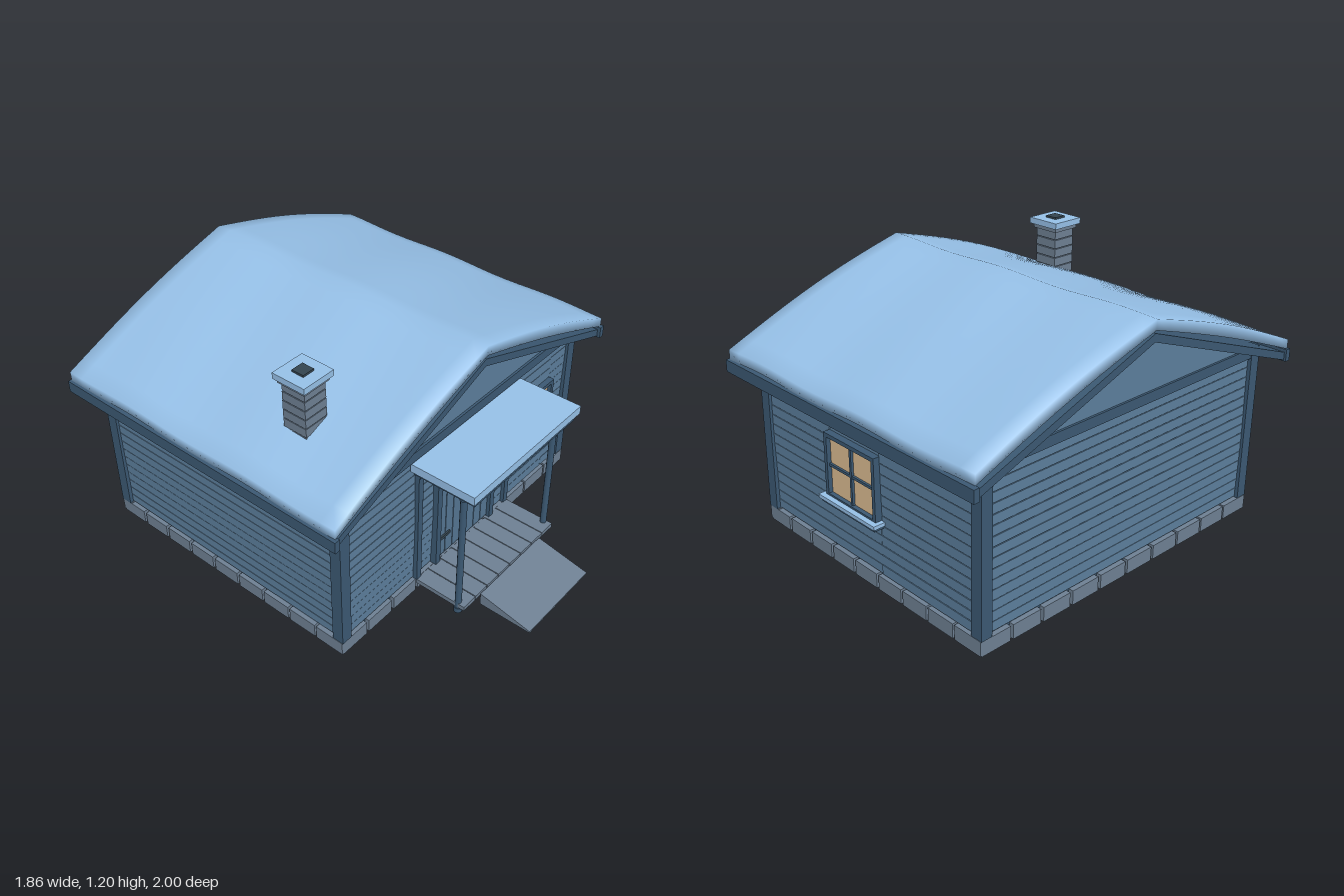
import * as THREE from 'three';

const mat = (color) => new THREE.MeshStandardMaterial({ color });
const WALL = mat(0x5b7d9b), TRIM = mat(0x3b5872), DOOR = mat(0x547491), SNOW = mat(0x95bfe6);
const STONE = mat(0x6d7f92), DARK = mat(0x34444f), GLASS = mat(0xdcbc92);

const HALF_X = 0.82, Z0 = -0.914, Z1 = 0.475, ZC = (Z0 + Z1) / 2, HALF_Z = (Z1 - Z0) / 2;
const SLOPE = 0.359;
const wobble = (i) => Math.sin(i * 12.9898) * 0.5;

function add(parent, name, geometry, material, x = 0, y = 0, z = 0) {
  const mesh = new THREE.Mesh(geometry, material);
  mesh.name = name;
  mesh.position.set(x, y, z);
  parent.add(mesh);
}

// box given by its two opposite corners
function box(parent, name, material, x0, x1, y0, y1, z0, z1) {
  add(parent, name, new THREE.BoxGeometry(x1 - x0, y1 - y0, z1 - z0), material,
    (x0 + x1) / 2, (y0 + y1) / 2, (z0 + z1) / 2);
}

function group(parent, name) {
  const g = new THREE.Group();
  g.name = name;
  parent.add(g);
  return g;
}

function extrude(points, z0, z1) {
  const shape = new THREE.Shape(points.map(([x, y]) => new THREE.Vector2(x, y)));
  return new THREE.ExtrudeGeometry(shape, { depth: z1 - z0, bevelEnabled: false }).translate(0, 0, z0);
}

// horizontal planks with slightly uneven seams; the plank face lies near z = 0
function planks(parent, x0, x1, y0, y1) {
  const n = Math.round((y1 - y0) / 0.046), h = (y1 - y0) / n;
  const seam = (i) => y0 + i * h + (i > 0 && i < n ? wobble(i + x0 * 7) * 0.006 : 0);
  for (let i = 0; i < n; i++)
    box(parent, 'wallPlank', WALL, x0, x1, seam(i) + 0.0015, seam(i + 1) - 0.0015, -0.03, wobble(i + x0 * 7) * 0.005);
}

// four-pane window with frame and snowy sill, centred on x
function addWindow(parent, x, w) {
  const g = group(parent, 'window');
  g.position.x = x;
  const y0 = 0.315, y1 = 0.608, b = 0.018;
  box(g, 'windowPane', GLASS, -w + b, w - b, y0, y1 - b, -0.02, 0.01);
  for (const s of [-1, 1]) {
    const c = s * (w - b / 2);
    box(g, 'windowFrameSide', TRIM, c - b / 2, c + b / 2, y0, y1, -0.03, 0.03);
  }
  box(g, 'windowFrameTop', TRIM, -w + b, w - b, y1 - b, y1, -0.03, 0.03);
  box(g, 'windowFrameBottom', TRIM, -w + b, w - b, y0, y0 + 0.018, -0.03, 0.03);
  box(g, 'windowMullion', TRIM, -0.006, 0.006, y0, y1 - b, 0, 0.022);
  box(g, 'windowCrossbar', TRIM, -w + b, w - b, 0.456, 0.468, 0, 0.02);
  box(g, 'windowSill', TRIM, -w - 0.01, w + 0.01, 0.293, 0.31, -0.02, 0.045);
  box(g, 'sillSnow', SNOW, -w - 0.02, w + 0.02, 0.308, 0.325, 0.0, 0.055);
}

// one wall built facing +z, then turned about the house centre
function wall(parent, name, angle, distance, half, build) {
  const g = group(parent, name);
  g.rotation.y = angle;
  g.position.set(Math.sin(angle) * distance, 0, ZC + Math.cos(angle) * distance);
  build(g, half - 0.05);
}

// plank bay around a window
function windowBay(g, x, half) {
  planks(g, x - half, x + half, 0.075, 0.3);
  planks(g, x - half, x + half, 0.606, 0.76);
  addWindow(g, x, half + 0.003);
}

function addDoor(g) {
  const door = group(g, 'door'), n = 7, w = 0.37 / n;
  for (let i = 0; i < n; i++)
    box(door, 'doorBoard', DOOR, -0.185 + i * w + 0.002, -0.185 + (i + 1) * w - 0.002, 0.08, 0.61, -0.02, 0.012);
  box(door, 'doorBacking', DARK, -0.185, 0.185, 0.078, 0.61, -0.03, 0.006);
  for (const s of [-1, 1])
    box(door, 'doorJamb', TRIM, s * 0.2 - 0.015, s * 0.2 + 0.015, 0.07, 0.655, -0.03, 0.028);
  box(door, 'doorLintel', TRIM, -0.185, 0.185, 0.61, 0.655, -0.03, 0.028);
  for (const y of [0.188, 0.482]) box(door, 'doorHinge', DARK, -0.185, -0.105, y - 0.008, y + 0.008, 0.01, 0.02);
  add(door, 'doorKnob', new THREE.SphereGeometry(0.012, 12, 8), DARK, 0.135, 0.315, 0.022);
}

// row of foundation stones along local x
function stones(parent, half, n) {
  const w = 2 * half / n;
  for (let i = 0; i < n; i++) {
    const r = wobble(i + n);
    box(parent, 'foundationStone', STONE, -half + i * w + 0.006, -half + (i + 1) * w - 0.006 + r * 0.006,
      0.003 + r * 0.006, 0.069 + r * 0.006, -0.045, 0.014 + r * 0.006);
  }
}

// thick, gently waving snow blanket: closed cross-sections along z, softly shaded
function snowBlanket() {
  const n = 24, m = 20, z0 = -0.988, z1 = 0.545, pos = [], idx = [], ring = 2 * (n + 1);
  for (let j = 0; j <= m; j++) {
    const z = z0 + (z1 - z0) * j / m;
    for (let k = 0; k < ring; k++) {
      const top = k <= n, u = 1 - 2 * (top ? k : ring - 1 - k) / n, a = Math.abs(u);
      const wave = 0.005 * Math.cos((z - 0.5) * 9.7 + 2 * u);
      const bulge = 0.025 * Math.sin(Math.PI * a);
      const y = 1.152 - 0.322 * a + wave;
      pos.push(0.918 * u, top ? y + bulge : y + 0.6 * bulge - 0.045, z);
    }
  }
  for (let j = 0; j < m; j++)
    for (let k = 0; k < ring; k++) {
      const a = j * ring + k, b = j * ring + (k + 1) % ring;
      idx.push(a, b, b + ring, a, b + ring, a + ring);
    }
  for (let k = 0; k < n; k++) {
    const a = k, b = k + 1, c = ring - 2 - k, d = ring - 1 - k, e = m * ring;
    idx.push(a, c, b, a, d, c, e + a, e + b, e + c, e + a, e + c, e + d);
  }
  const geo = new THREE.BufferGeometry();
  geo.setAttribute('position', new THREE.Float32BufferAttribute(pos, 3));
  geo.setIndex(idx);
  geo.computeVertexNormals();
  return geo;
}

export function createModel() {
  const model = new THREE.Group();
  model.name = 'snowyCabin';

  // walls
  wall(model, 'frontWall', 0, HALF_Z - 0.015, HALF_X, (g, h) => {
    planks(g, -h, -0.215, 0.075, 0.76);
    planks(g, -0.215, 0.215, 0.655, 0.76);
    planks(g, 0.215, 0.355, 0.075, 0.76);
    windowBay(g, 0.4975, 0.1425);
    planks(g, 0.64, h, 0.075, 0.76);
    addDoor(g);
    stones(g, HALF_X, 10);
  });
  wall(model, 'windowSideWall', Math.PI / 2, HALF_X - 0.015, HALF_Z, (g, h) => {
    planks(g, -h, -0.2225, 0.075, 0.76);
    windowBay(g, -0.0625, 0.16);
    planks(g, 0.0975, h, 0.075, 0.76);
    stones(g, HALF_Z, 9);
  });
  wall(model, 'backWall', Math.PI, HALF_Z - 0.015, HALF_X, (g, h) => {
    planks(g, -h, h, 0.075, 0.76);
    stones(g, HALF_X, 10);
  });
  wall(model, 'plainSideWall', -Math.PI / 2, HALF_X - 0.015, HALF_Z, (g, h) => {
    planks(g, -h, h, 0.075, 0.76);
    stones(g, HALF_Z, 9);
  });

  // corner posts, gables and their beams
  for (const s of [-1, 1]) {
    const x = s * (HALF_X - 0.0275), z = ZC + s * (HALF_Z - 0.0275);
    for (const t of [-1, 1]) {
      const pz = ZC + t * (HALF_Z - 0.0275);
      box(model, 'cornerPost', TRIM, x - 0.0275, x + 0.0275, 0.07, 0.775, pz - 0.0275, pz + 0.0275);
    }
    box(model, 'gableBeam', TRIM, -HALF_X, HALF_X, 0.757, 0.803, z - 0.025, z + 0.026);
    add(model, 'gable', extrude([[-0.75, 0.79], [0.75, 0.79], [0, 1.07]], z - 0.015, z + 0.015), WALL);
  }

  // floor boards
  for (let i = 0; i < 18; i++) {
    const w = (2 * HALF_Z - 0.05) / 18, z = Z0 + 0.025 + i * w;
    box(model, 'floorBoard', TRIM, -0.79, 0.79, 0.05, 0.074, z + 0.0015, z + w - 0.0015);
  }

  // roof deck, eave boards and snow
  const eave = 0.915, top = 1.093, t = 0.036, drop = SLOPE * eave;
  add(model, 'roofDeck', extrude([[-eave, top - drop], [-eave, top - drop - t], [0, top - t],
    [eave, top - drop - t], [eave, top - drop], [0, top]], -0.985, 0.54), TRIM);
  for (const s of [-1, 1])
    box(model, 'eaveBoard', TRIM, s * 0.918 - 0.0135, s * 0.918 + 0.0135, 0.727, 0.782, -0.995, 0.555);
  add(model, 'roofSnow', snowBlanket(), SNOW);

  // chimney
  const chimney = group(model, 'chimney');
  chimney.position.set(-0.628, 0, 0.135);
  for (let i = 0; i < 7; i++) {
    const y = 0.85 + i * 0.043, r = 0.058 + wobble(i) * 0.004;
    box(chimney, 'chimneyCourse', STONE, -r, r, y, y + 0.039, -r, r);
  }
  box(chimney, 'chimneyCore', STONE, -0.052, 0.052, 0.85, 1.15, -0.052, 0.052);
  box(chimney, 'chimneyCap', STONE, -0.07, 0.07, 1.146, 1.168, -0.07, 0.07);
  box(chimney, 'chimneySnow', SNOW, -0.083, 0.083, 1.166, 1.194, -0.083, 0.083);
  box(chimney, 'chimneyFlue', DARK, -0.03, 0.03, 1.15, 1.203, -0.03, 0.03);

  // porch
  const porch = group(model, 'porch');
  for (let i = 0; i < 8; i++) {
    const w = 0.68 / 8, x = -0.34 + i * w;
    box(porch, 'deckBoard', STONE, x + 0.002, x + w - 0.002, 0.048, 0.07, 0.475, 0.735);
  }
  for (const s of [-1, 1]) {
    add(porch, 'porchPost', new THREE.CylinderGeometry(0.015, 0.015, 0.67, 12), TRIM, s * 0.325, 0.35, 0.695);
    for (const y of [0.03, 0.67])
      add(porch, 'postCollar', new THREE.CylinderGeometry(0.019, 0.019, 0.025, 12), TRIM, s * 0.325, y, 0.695);
    box(porch, 'wallBracket', TRIM, s * 0.325 - 0.015, s * 0.325 + 0.015, 0.07, 0.685, 0.455, 0.48);
  }
  box(porch, 'canopyWallBeam', TRIM, -0.34, 0.34, 0.655, 0.685, 0.46, 0.485);
  box(porch, 'canopyBoard', TRIM, -0.358, 0.358, 0.683, 0.712, 0.465, 0.77);
  box(porch, 'canopySnow', SNOW, -0.38, 0.38, 0.712, 0.752, 0.465, 0.782);

  // ramp: wedge profile swept across x
  const ramp = extrude([[-0.74, 0.004], [-0.74, 0.065], [-1, 0.012], [-1, 0.004]], -0.225, 0.225);
  add(model, 'entryRamp', ramp.rotateY(Math.PI / 2), STONE);

  return model;
}
